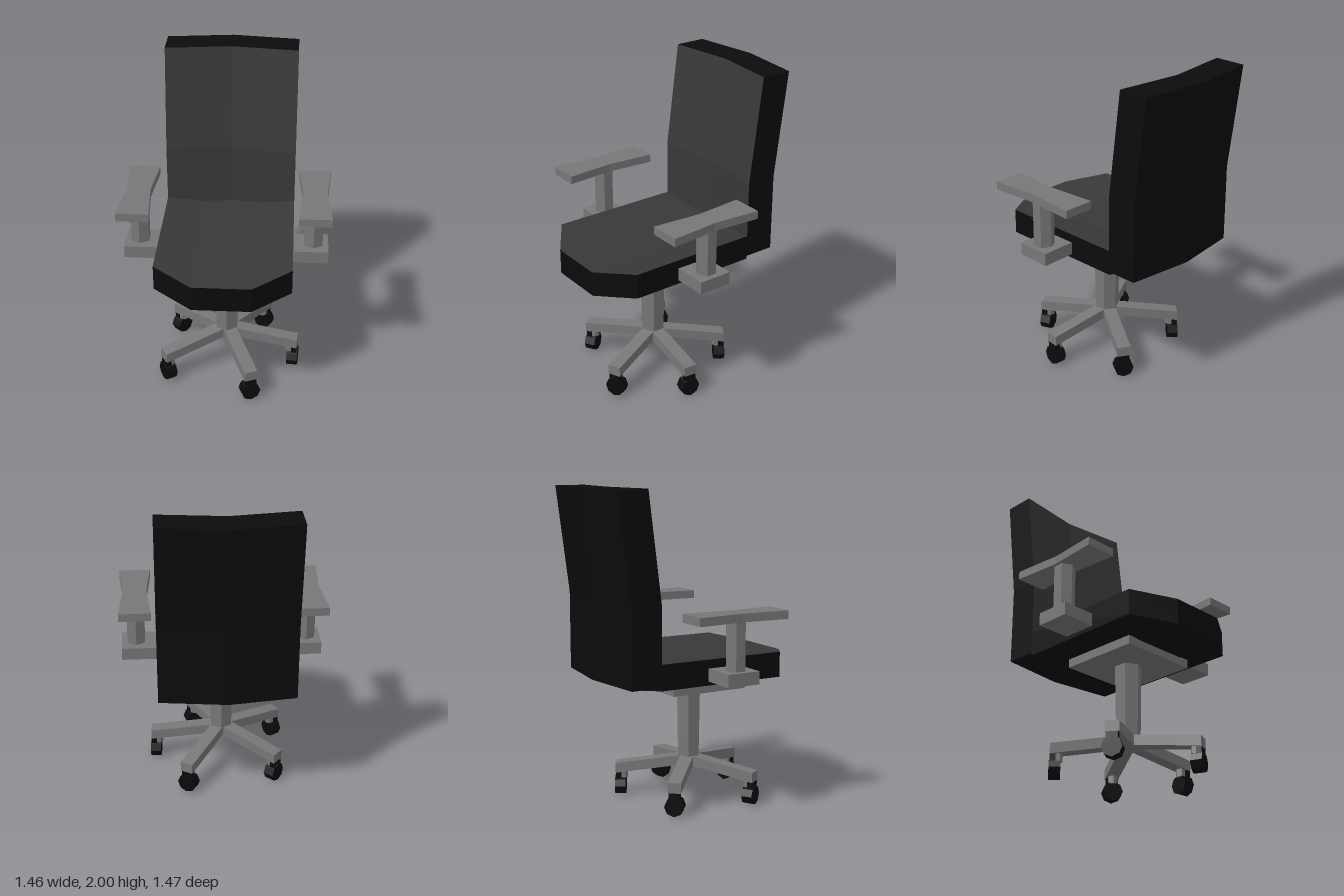
import * as THREE from 'three';

const flat = (name, color) => {
  const m = new THREE.MeshStandardMaterial({ color, flatShading: true });
  m.name = name;
  return m;
};

// Faceted slab: a grid of points seen from its face, thickened by an offset
function slab(grid, offset) {
  const pos = [];
  const back = (p) => p.map((v, i) => v + offset[i]);
  const quad = (a, b, c, d) => pos.push(...a, ...b, ...c, ...a, ...c, ...d);
  const R = grid.length - 1, C = grid[0].length - 1;
  const eachCell = (fn) => {
    for (let r = 0; r < R; r++)
      for (let c = 0; c < C; c++)
        fn(grid[r][c], grid[r + 1][c], grid[r + 1][c + 1], grid[r][c + 1]);
  };
  eachCell(quad);
  const faceCount = pos.length / 3;
  eachCell((a, b, c, d) => quad(back(d), back(c), back(b), back(a)));
  // Walls around the border
  const ring = [];
  for (let r = 0; r < R; r++) ring.push(grid[r][0]);
  for (let c = 0; c < C; c++) ring.push(grid[R][c]);
  for (let r = R; r > 0; r--) ring.push(grid[r][C]);
  for (let c = C; c > 0; c--) ring.push(grid[0][c]);
  ring.forEach((p, i) => {
    const q = ring[(i + 1) % ring.length];
    quad(p, back(p), back(q), q);
  });
  const g = new THREE.BufferGeometry();
  g.setAttribute('position', new THREE.Float32BufferAttribute(pos, 3));
  g.computeVertexNormals();
  g.addGroup(0, faceCount, 0);
  g.addGroup(faceCount, pos.length / 3 - faceCount, 1);
  return g;
}

export function createModel() {
  const frame = flat('grey frame', 0x777777);
  const cushion = flat('charcoal cushion', 0x383838);
  const shell = flat('black shell', 0x0b0b0b);

  const model = new THREE.Group();
  model.name = 'officeChair';
  const chair = new THREE.Group();
  chair.name = 'turnedChair';
  chair.position.set(-0.095, 0, 0.035);
  chair.rotation.y = -0.917;
  model.add(chair);

  const add = (parent, name, geometry, material, x = 0, y = 0, z = 0) => {
    const mesh = new THREE.Mesh(geometry, material);
    mesh.name = name;
    mesh.position.set(x, y, z);
    parent.add(mesh);
    return mesh;
  };
  const hex = (top, bottom, h) => new THREE.CylinderGeometry(top, bottom, h, 6);

  // Seat: dished across its width, with cut front corners
  const xs = [-0.42, -0.18, 0.18, 0.42];
  const dish = [0.975, 0.94, 0.94, 0.975];
  const seatRow = (side, middle) =>
    xs.map((x, i) => [x, dish[i], i === 0 || i === 3 ? side : middle]);
  add(chair, 'seat', slab([seatRow(-0.432, -0.48), seatRow(0.414, 0.575)], [0, -0.16, 0]), [cushion, shell]);

  // Backrest: upright lower half, upper half leaning back, creased down the middle
  const backRow = (y, lean) =>
    [[-0.42, -0.432], [0, -0.483], [0.42, -0.432]].map(([x, z]) => [x, y, z - lean]);
  add(chair, 'backrest',
    slab([backRow(2, 0.086), backRow(1.33, 0), backRow(0.835, 0)], [0, 0, -0.2]), [cushion, shell]);

  // Plate and column under the seat
  add(chair, 'seatPlate', new THREE.BoxGeometry(0.52, 0.055, 0.52), frame, 0, 0.7575, 0);
  add(chair, 'column', hex(0.085, 0.076, 0.51), frame, 0, 0.485, 0);

  // Armrests: bracket, post and waisted pad
  for (const side of [1, -1]) {
    const arm = new THREE.Group();
    arm.name = side > 0 ? 'leftArmrest' : 'rightArmrest';
    arm.position.x = side * 0.547;
    chair.add(arm);
    add(arm, 'armBracket', new THREE.BoxGeometry(0.22, 0.08, 0.22), frame, side * -0.017, 0.88, 0);
    add(arm, 'armPost', hex(0.065, 0.065, 0.33), frame, 0, 1.065, 0);
    const pad = [[-0.31, 0.1], [0, 0.075], [0.31, 0.1]]
      .map(([z, w]) => [[-w, 1.272, z], [w, 1.272, z]]);
    add(arm, 'armPad', slab(pad, [0, -0.052, 0]), [frame, frame]);
  }

  // Five sloping legs, each with a caster
  const legGeo = slab(
    [[0, 0.28], [0.47, 0.215]].map(([z, y]) => [[-0.0425, y, z], [0.0425, y, z]]), [0, -0.065, 0]);
  const wheelGeo = new THREE.CylinderGeometry(0.062, 0.062, 0.07, 8).rotateX(Math.PI / 2);
  for (const degrees of [5.4, 67.6, 147.3, 221.4, 302.2]) {
    const leg = new THREE.Group();
    leg.name = 'baseLeg';
    leg.rotation.y = Math.PI / 2 - THREE.MathUtils.degToRad(degrees);
    chair.add(leg);
    add(leg, 'legBeam', legGeo, [frame, frame]);
    add(leg, 'casterStem', hex(0.032, 0.032, 0.05), frame, 0, 0.135, 0.425);
    add(leg, 'casterHood', new THREE.BoxGeometry(0.072, 0.06, 0.035), shell, 0, 0.123, 0.452);
    add(leg, 'casterWheel', wheelGeo, shell, 0, 0.062, 0.44);
  }

  return model;
}
